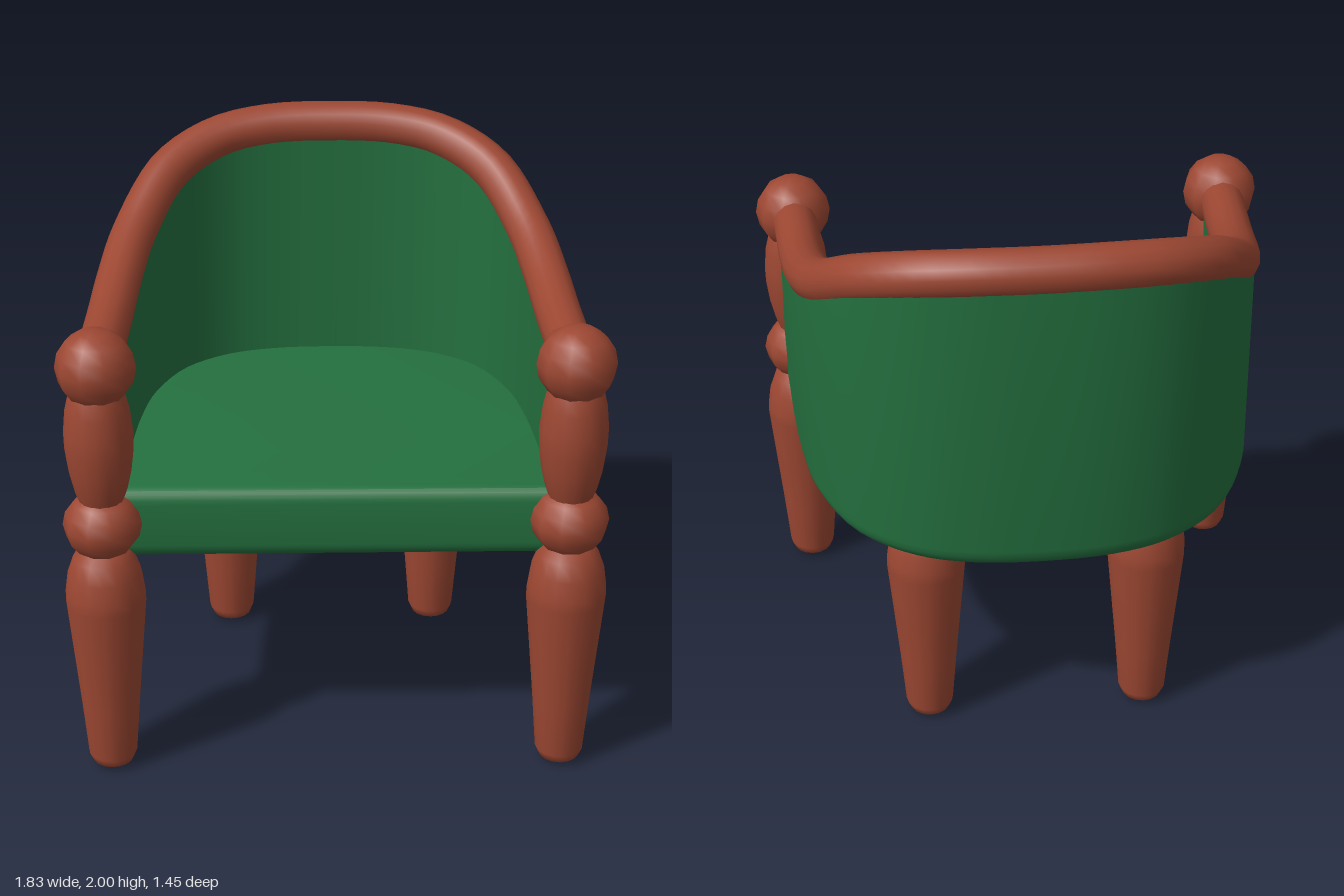
import * as THREE from 'three';
import { toCreasedNormals } from 'three/addons/utils/BufferGeometryUtils.js';

const POST_X = 0.78, POST_Z = 0.59, SEAT_BOTTOM = 0.8, SEAT_TOP = 1.06;

// Half of the rail's centre line, from the left post to the middle of the back
const HALF = [
  [0.78, 1.51, 0.59], [0.768, 1.517, 0.4], [0.755, 1.535, 0.2], [0.735, 1.585, 0],
  [0.69, 1.675, -0.22], [0.575, 1.815, -0.45], [0.41, 1.888, -0.58], [0.23, 1.916, -0.636],
];

function railCurve() {
  const left = HALF.map(p => new THREE.Vector3(...p));
  const right = HALF.map(([x, y, z]) => new THREE.Vector3(-x, y, z)).reverse();
  return new THREE.CatmullRomCurve3([...left, new THREE.Vector3(0, 1.922, -0.652), ...right]);
}

// Points along the curve with the horizontal outward direction at each
function samples(curve, n) {
  return Array.from({ length: n + 1 }, (_, i) => {
    const p = curve.getPoint(i / n), t = curve.getTangent(i / n);
    const l = Math.hypot(t.x, t.z);
    return { p, nx: -t.z / l, nz: t.x / l };
  });
}

// Upholstered wall: a section swept round the plan, its top following the rail
function wallGeometry(curve) {
  const rows = samples(curve, 64), h = 0.06, r = 0.08;
  const pos = [], idx = [];
  let m = 0;
  for (const { p, nx, nz } of rows) {
    const section = [[-h, p.y], [h, p.y]];
    for (let k = 0; k <= 5; k++) {
      const a = k / 5 * Math.PI / 2;
      section.push([h - r + r * Math.cos(a), SEAT_BOTTOM + r - r * Math.sin(a)]);
    }
    section.push([-h, SEAT_BOTTOM]);
    m = section.length;
    for (const [o, y] of section) pos.push(p.x + nx * o, y, p.z + nz * o);
  }
  for (let i = 0; i < rows.length - 1; i++) {
    for (let j = 0; j < m; j++) {
      const a = i * m + j, b = i * m + (j + 1) % m;
      idx.push(a, b, a + m, b, b + m, a + m);
    }
  }
  const g = new THREE.BufferGeometry();
  g.setAttribute('position', new THREE.Float32BufferAttribute(pos, 3));
  g.setIndex(idx);
  return toCreasedNormals(g, 0.7);
}

// Seat cushion: the plan extruded upwards with a rounded edge
function seatGeometry(curve) {
  const b = 0.055, front = 0.595 - b;
  const plan = samples(curve, 48)
    .map(({ p, nx, nz }) => new THREE.Vector2(p.x - nx * 0.035, -(p.z - nz * 0.035)))
    .filter(v => v.y > -front + 0.01);
  plan.unshift(new THREE.Vector2(0.742, -front));
  plan.push(new THREE.Vector2(-0.742, -front));
  const g = new THREE.ExtrudeGeometry(new THREE.Shape(plan), {
    depth: SEAT_TOP - SEAT_BOTTOM - 2 * b, bevelSize: b, bevelThickness: b, bevelSegments: 5,
  });
  g.rotateX(-Math.PI / 2).translate(0, SEAT_BOTTOM + b, 0);
  return toCreasedNormals(g, 0.7);
}

function turned(profile, sides = 16) {
  return new THREE.LatheGeometry(profile.map(([r, y]) => new THREE.Vector2(r, y)), sides);
}

export function createModel() {
  const wood = new THREE.MeshStandardMaterial({ color: 0x9c4732 });
  wood.name = 'redBrownWood';
  const fabric = new THREE.MeshStandardMaterial({ color: 0x24703f });
  fabric.name = 'greenFabric';

  const model = new THREE.Group();
  model.name = 'tubArmchair';
  const add = (name, geometry, material, x = 0, y = 0, z = 0) => {
    const mesh = new THREE.Mesh(geometry, material);
    mesh.name = name;
    mesh.position.set(x, y, z);
    model.add(mesh);
  };

  const curve = railCurve();
  add('wall', wallGeometry(curve), fabric);
  add('seat', seatGeometry(curve), fabric);
  add('rail', new THREE.TubeGeometry(curve, 64, 0.0775, 14), wood);

  // Turned legs and arm posts
  const leg = turned([
    [0, 0], [0.045, 0.004], [0.07, 0.018], [0.084, 0.05], [0.1, 0.25], [0.118, 0.45],
    [0.136, 0.65], [0.135, 0.69], [0.125, 0.76], [0.104, 0.82], [0.07, 0.86], [0, 0.88],
  ]);
  const spindle = turned([
    [0.07, 1.02], [0.088, 1.07], [0.104, 1.14], [0.114, 1.22], [0.115, 1.28],
    [0.107, 1.36], [0.095, 1.41], [0.08, 1.45],
  ]);
  const ball = new THREE.SphereGeometry(0.133, 10, 8);
  const collar = ball.clone().scale(1, 0.9, 1);

  for (const [side, s] of [['left', 1], ['right', -1]]) {
    add(side + 'FrontLeg', leg, wood, s * POST_X, 0, POST_Z);
    add(side + 'BackLeg', leg, wood, s * 0.385, 0, -0.425);
    add(side + 'Collar', collar, wood, s * POST_X, 0.94, POST_Z);
    add(side + 'Spindle', spindle, wood, s * POST_X, 0, POST_Z);
    add(side + 'Knob', ball, wood, s * POST_X, 1.51, POST_Z);
  }
  return model;
}
